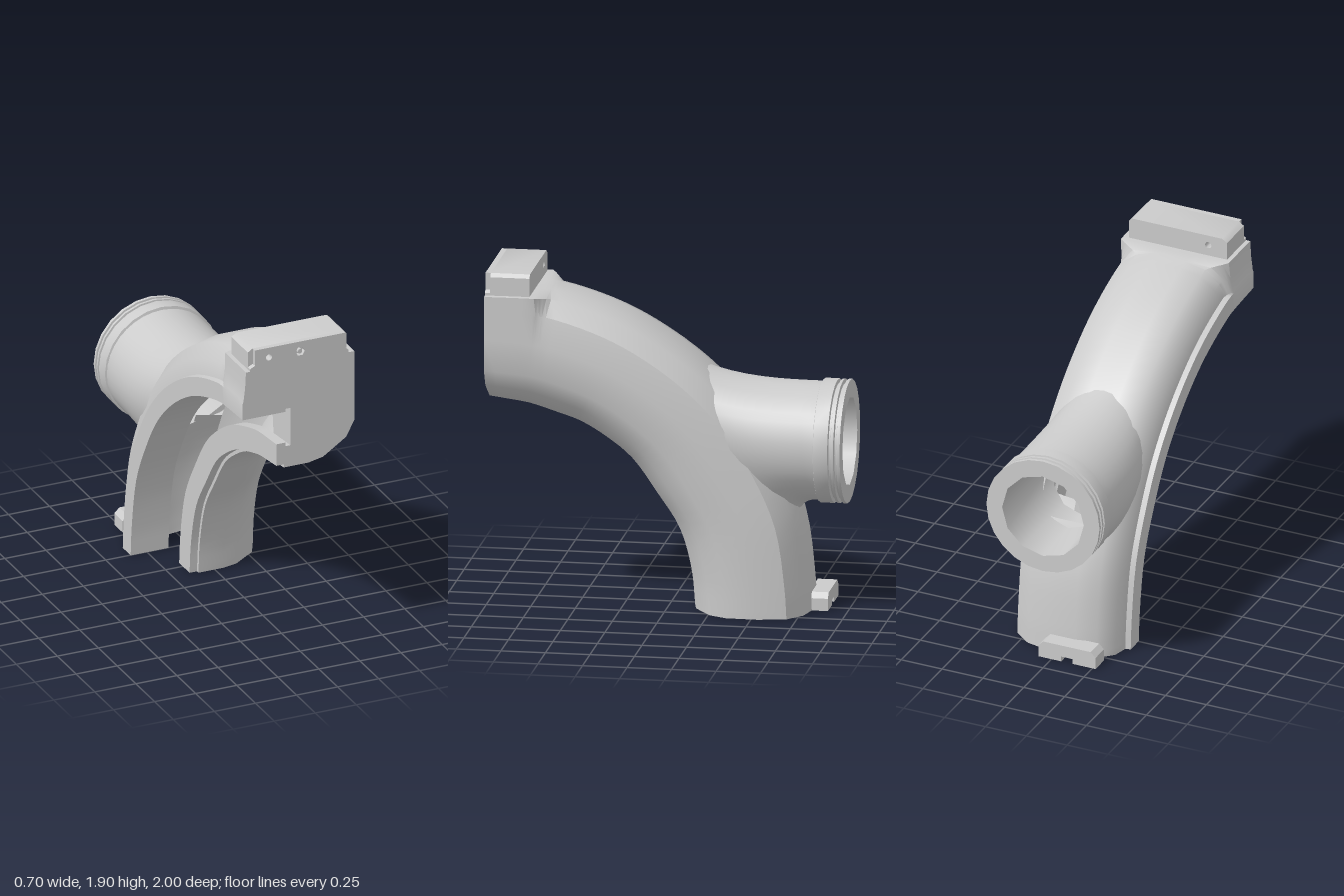
import * as THREE from 'three';
import { toCreasedNormals } from 'three/addons/utils/BufferGeometryUtils.js';

const material = new THREE.MeshStandardMaterial({ color: 0xcccccc, side: THREE.DoubleSide });

function part(name, geometry, parent, crease = 0.65) {
  const mesh = new THREE.Mesh(toCreasedNormals(geometry, crease), material);
  mesh.name = name;
  parent.add(mesh);
  return mesh;
}

// Skin a list of closed rings; caps are optional triangle lists for the first and last ring
function loft(rings, { skip = () => false, caps = null } = {}) {
  const n = rings[0].length, index = [];
  for (let i = 0; i < rings.length - 1; i++) {
    for (let j = 0; j < n; j++) {
      const k = (j + 1) % n;
      if (skip(rings[i][j], rings[i + 1][k], j)) continue;
      const a = i * n + j, b = i * n + k;
      index.push(a, b, b + n, a, b + n, a + n);
    }
  }
  if (caps) {
    const last = (rings.length - 1) * n;
    caps[0].forEach(([a, b, c]) => index.push(a, c, b));
    caps[1].forEach(([a, b, c]) => index.push(a + last, b + last, c + last));
  }
  const g = new THREE.BufferGeometry().setFromPoints(rings.flat());
  g.setIndex(index);
  return g;
}

// Inner and outer edge of the curved arm, as [z, y]
const curve = (pts) => new THREE.CatmullRomCurve3(pts.map(([z, y]) => new THREE.Vector3(0, y, z)));
const inner = curve([[-.14, 0], [-.12, .2], [-.05, .45], [.08, .65], [.22, .84], [.36, .95],
  [.5, 1.03], [.62, 1.07], [.75, 1.11], [.79, 1.12], [1, 1.15]]);
const outer = curve([[-.8, 0], [-.79, .17], [-.74, .53], [-.62, .83], [-.45, 1.1], [-.2, 1.36],
  [.1, 1.57], [.35, 1.69], [.64, 1.775], [.72, 1.78], [1, 1.78]]);

// C-shaped section of the arm [x, share from inner to outer edge]: hollow body, then squared front end
const hollow = [[-.1, .03], [-.1, 0], [.05, 0], [.14, .03], [.28, .18], [.33, .33], [.335, .6],
  [.3, .84], [.2, .96], [.08, 1], [-.1, 1], [-.22, .96], [-.3, .84], [-.32, .71], [-.35, .7], [-.35, .54],
  [-.12, .54], [-.18, .62], [-.12, .76], [.04, .8], [.18, .74], [.25, .55], [.24, .33], [.12, .16],
  [0, .11], [-.08, .12], [-.08, .24], [-.145, .24], [-.145, .03]];
const square = [...hollow.slice(0, 6), [.33, .6],
  [.33, .85], [.33, 1], [.1, 1], [-.1, 1], [-.33, 1], [-.335, .85], [-.345, .72], [-.35, .7], [-.35, .54],
  [-.09, .54], [-.09, .57], [-.06, .57], [-.06, .53], [-.06, .48], [-.06, .43], [-.06, .38], [-.06, .33],
  [-.06, .205], [-.09, .205], [-.09, .24], [-.145, .24], [-.145, .03]];

const PIPE_Y = 0.957;

// z of the arm's outer edge at a given height
function outerZ(y) {
  let p = outer.getPoint(0);
  for (let i = 1; i <= 200 && p.y < y; i++) p = outer.getPoint(i / 200);
  return p.z;
}

function armGeometry() {
  const rings = [], steps = 40;
  for (let i = 0; i <= steps; i++) {
    const a = inner.getPoint(i / steps), b = outer.getPoint(i / steps);
    const w = THREE.MathUtils.clamp(i / 4 - 8, 0, 1);
    rings.push(hollow.map(([x, s], j) => {
      const p = a.clone().lerp(b, THREE.MathUtils.lerp(s, square[j][1], w));
      p.x = THREE.MathUtils.lerp(x, square[j][0], w);
      return p;
    }));
  }
  const tris = (sec) => THREE.ShapeUtils.triangulateShape(sec.map(([x, s]) => new THREE.Vector2(x, s)), []);
  // Leave the walls open where the rear pipe enters
  const skip = (p, q, j) => ((j >= 8 && j <= 11) || (j >= 17 && j <= 19)) &&
    Math.hypot((p.x + q.x) / 2, (p.y + q.y) / 2 - PIPE_Y) < 0.22;
  return loft(rings, { skip, caps: [tris(hollow), tris(square)] });
}

// Ring of points around the pipe axis
const ring = (n, f) => Array.from({ length: n }, (_, i) => {
  const a = (i / n) * Math.PI * 2;
  return f(Math.cos(a), Math.sin(a));
});

function addPipe(parent) {
  const pipe = new THREE.Group();
  pipe.name = 'rearPipe';
  parent.add(pipe);

  // Fairing that flares into the arm
  const rings = [];
  for (let i = 0; i <= 8; i++) {
    const f = i / 8, e = f ** 3;
    rings.push(ring(36, (c, s) => {
      const zEnd = outerZ(PIPE_Y + 0.42 * s) + 0.03 + 0.17 * c * c;
      return new THREE.Vector3(c * (0.335 - 0.035 * e), PIPE_Y + s * (0.33 + 0.09 * e),
        THREE.MathUtils.lerp(-0.85, zEnd, f));
    }));
  }
  part('pipeFairing', loft(rings), pipe, 1);

  // Bore running through the arm's wall
  part('pipeBore', loft([
    ring(12, (c, s) => new THREE.Vector3(0.25 * c, PIPE_Y + 0.25 * s, -1)),
    ring(12, (c, s) => new THREE.Vector3(0.22 * c, PIPE_Y + 0.23 * s, outerZ(PIPE_Y + 0.23 * s) + 0.16)),
  ]), pipe);

  // Collar with two seal grooves
  const profile = [[.33, .845], [.346, .85], [.346, .93], [.325, .934], [.325, .944], [.346, .948],
    [.346, .963], [.325, .967], [.325, .977], [.346, .981], [.346, 1]];
  const collar = new THREE.LatheGeometry(profile.map(([r, h]) => new THREE.Vector2(r, h)), 24);
  part('pipeCollar', collar.rotateX(-Math.PI / 2).translate(0, PIPE_Y, 0), pipe);

  // End face between the collar and the twelve-sided bore
  const face = new THREE.Shape().absarc(0, 0, 0.346, 0, Math.PI * 2);
  face.holes.push(new THREE.Path(ring(12, (c, s) => new THREE.Vector2(0.25 * c, 0.25 * s))));
  part('pipeEndFace', new THREE.ShapeGeometry(face, 12).rotateY(Math.PI).translate(0, PIPE_Y, -1), pipe);
}

function extrude(points, depth, z, holes = []) {
  const shape = new THREE.Shape(points.map(([x, y]) => new THREE.Vector2(x, y)));
  holes.forEach(([x, y, r, n]) => shape.holes.push(
    new THREE.Path(ring(n, (c, s) => new THREE.Vector2(x + r * c, y + r * s)))));
  return new THREE.ExtrudeGeometry(shape, { depth, bevelEnabled: false }).translate(0, 0, z);
}

function addMount(parent) {
  const mount = new THREE.Group();
  mount.name = 'topMount';
  parent.add(mount);
  const outline = [[-.305, 1.77], [.295, 1.77], [.295, 1.885], [.275, 1.905], [-.275, 1.905], [-.305, 1.885]];
  const frontOutline = [[-.305, 1.77], [.295, 1.77], [.295, 1.795], [.275, 1.81],
    [.275, 1.905], [-.275, 1.905], [-.275, 1.81], [-.305, 1.795]];
  const pinHole = [-.19, 1.845, .019, 12];
  part('mountBlock', extrude(outline, 0.22, 0.75, [pinHole]), mount);
  part('mountFrontPlate', extrude(frontOutline, 0.03, 0.97, [pinHole, [0, 1.845, .028, 6]]), mount);
  const stud = new THREE.CylinderGeometry(0.014, 0.014, 0.03, 10).rotateX(Math.PI / 2);
  part('mountStud', stud.translate(0, 1.845, 0.983), mount);
}

// Notched tab at the back of the foot
function addTab(parent) {
  const outline = [[-.27, 0], [-.13, 0], [-.13, .03], [-.06, .03], [-.06, 0], [.08, 0],
    [.08, .07], [.05, .1], [-.24, .1], [-.27, .07]];
  part('footTab', extrude(outline, 0.11, -0.89), parent);
}

export function createModel() {
  const model = new THREE.Group();
  model.name = 'ductElbow';
  part('curvedArm', armGeometry(), model);
  addPipe(model);
  addMount(model);
  addTab(model);
  return model;
}
